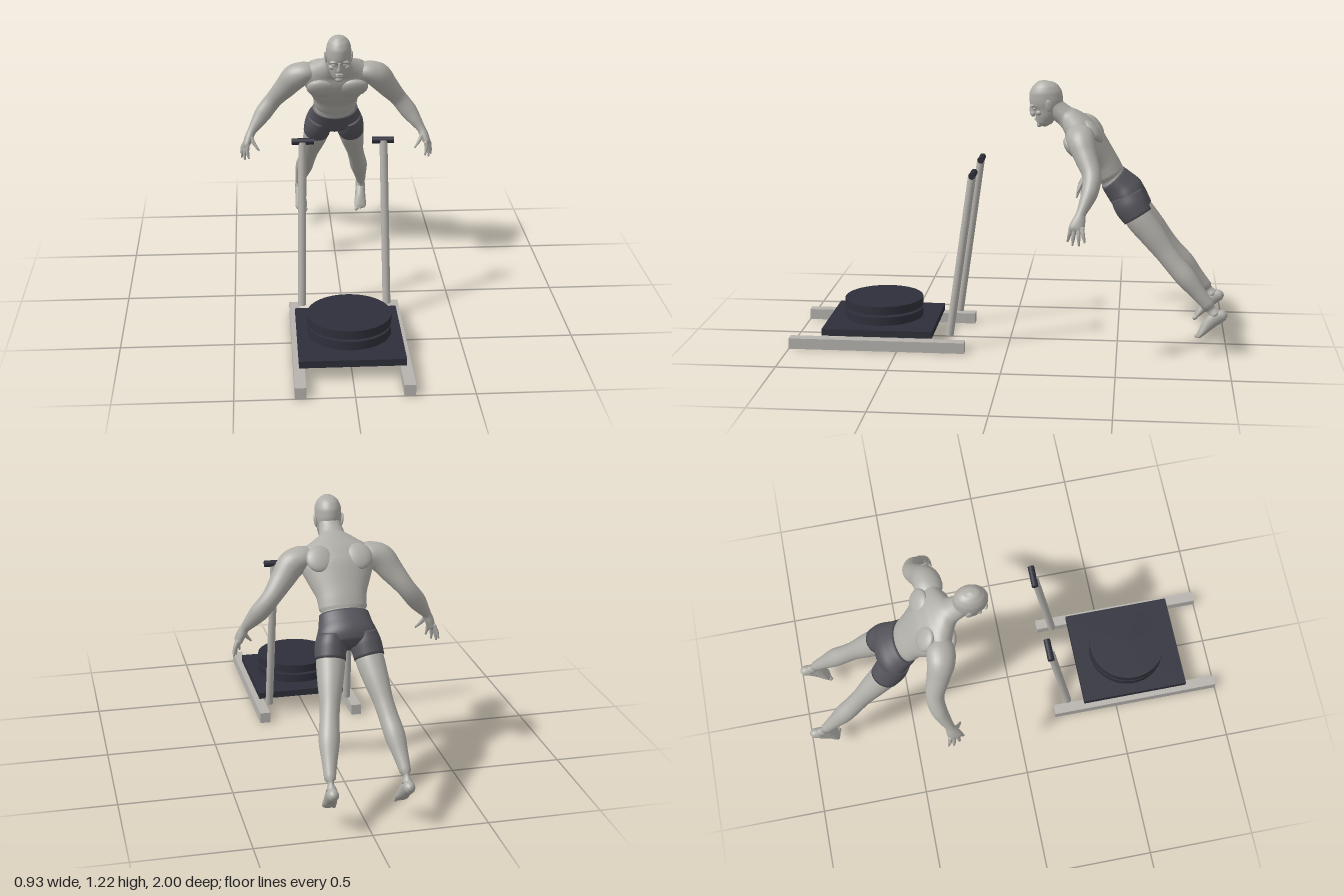
import * as THREE from 'three';

const paint = (name, color) => {
  const m = new THREE.MeshStandardMaterial({ color });
  m.name = name;
  return m;
};

// Smooth tube through rows [x, y, z, halfWidth, halfDepth]; ref points along the depth axis.
function loft(rows, ref, sides = 28, steps = 5) {
  const path = new THREE.CatmullRomCurve3(rows.map(r => new THREE.Vector3(r[0], r[1], r[2])));
  const size = new THREE.CatmullRomCurve3(rows.map(r => new THREE.Vector3(r[3], r[4], 0)));
  const n = (rows.length - 1) * steps, pos = [], idx = [];
  for (let j = 0; j <= n; j++) {
    const p = path.getPoint(j / n), s = size.getPoint(j / n), t = path.getTangent(j / n);
    const d = new THREE.Vector3(...ref).addScaledVector(t, -t.dot(new THREE.Vector3(...ref))).normalize();
    const w = new THREE.Vector3().crossVectors(d, t);
    for (let i = 0; i < sides; i++) {
      const a = i / sides * Math.PI * 2;
      const v = p.clone().addScaledVector(w, Math.cos(a) * s.x).addScaledVector(d, Math.sin(a) * s.y);
      pos.push(v.x, v.y, v.z);
      if (j < n) {
        const A = j * sides + i, B = j * sides + (i + 1) % sides;
        idx.push(A, B, B + sides, A, B + sides, A + sides);
      }
    }
  }
  // End caps
  const first = pos.length / 3, last = n * sides;
  for (const r of [rows[0], rows[rows.length - 1]]) pos.push(r[0], r[1], r[2]);
  for (let i = 0; i < sides; i++) {
    const k = (i + 1) % sides;
    idx.push(first, k, i, first + 1, last + i, last + k);
  }
  const g = new THREE.BufferGeometry();
  g.setAttribute('position', new THREE.Float32BufferAttribute(pos, 3));
  g.setIndex(idx);
  g.computeVertexNormals();
  return g;
}

export function createModel() {
  const model = new THREE.Group();
  const skin = paint('skin grey', 0xb0aea8), cloth = paint('shorts grey', 0x55545b);
  const metal = paint('frame grey', 0xb6b3ae), dark = paint('dark rubber', 0x2e2f3a);

  const add = (parent, name, geo, mat, x = 0, y = 0, z = 0) => {
    const m = new THREE.Mesh(geo, mat);
    m.name = name;
    m.position.set(x, y, z);
    parent.add(m);
    return m;
  };
  const blob = (parent, name, x, y, z, sx, sy, sz, rx = 0, rz = 0) => {
    const m = add(parent, name, new THREE.SphereGeometry(1, 20, 14), skin, x, y, z);
    m.scale.set(sx, sy, sz);
    m.rotation.set(rx, 0, rz);
    return m;
  };
  const rod = (parent, name, a, b, r, mat, sides = 24) => {
    const A = new THREE.Vector3(...a), B = new THREE.Vector3(...b), dir = B.clone().sub(A);
    const m = add(parent, name, new THREE.CylinderGeometry(r, r, dir.length(), sides), mat);
    m.position.copy(A).add(B).multiplyScalar(0.5);
    m.quaternion.setFromUnitVectors(new THREE.Vector3(0, 1, 0), dir.normalize());
    return m;
  };

  // Sled: rails, push poles, handles, platform and weight plates
  const sled = new THREE.Group();
  sled.name = 'sled';
  model.add(sled);
  for (const s of [1, -1]) {
    add(sled, 'rail', new THREE.BoxGeometry(0.048, 0.05, 0.81), metal, s * 0.226, 0.025, 0.595);
    rod(sled, 'pole', [s * 0.193, 0.07, 0.262], [s * 0.181, 0.82, 0.155], 0.018, metal);
    rod(sled, 'handle', [s * 0.13, 0.82, 0.152], [s * 0.228, 0.82, 0.152], 0.015, dark);
  }
  add(sled, 'platform', new THREE.BoxGeometry(0.454, 0.031, 0.51), dark, 0, 0.076, 0.595);
  for (const y of [0.12, 0.17])
    add(sled, 'weightPlate', new THREE.CylinderGeometry(0.182, 0.182, 0.039, 64), dark, 0, y, 0.595);

  // Athlete leaning forward
  const body = new THREE.Group();
  body.name = 'athlete';
  model.add(body);
  const front = [0, -0.62, 0.78];
  add(body, 'torso', loft([
    [0, 0.765, -0.48, 0.104, 0.064],
    [0, 0.80, -0.455, 0.104, 0.064],
    [0, 0.846, -0.428, 0.109, 0.066],
    [0, 0.905, -0.38, 0.138, 0.078],
    [0, 0.965, -0.335, 0.165, 0.082],
    [0, 1.01, -0.305, 0.163, 0.068],
    [0, 1.04, -0.275, 0.105, 0.055],
    [0, 1.062, -0.245, 0.058, 0.047],
    [0, 1.095, -0.205, 0.049, 0.045],
    [0, 1.125, -0.18, 0.045, 0.045],
  ], front, 40), skin);
  add(body, 'shortsHips', loft([
    [0, 0.78, -0.468, 0.108, 0.067],
    [0, 0.745, -0.5, 0.117, 0.077],
    [0, 0.71, -0.532, 0.13, 0.083],
    [0, 0.68, -0.556, 0.124, 0.07],
    [0, 0.662, -0.57, 0.085, 0.035],
  ], front, 40), cloth);

  for (const s of [1, -1]) {
    const side = rows => rows.map(([x, ...rest]) => [s * x, ...rest]);

    // Chest and back muscles
    blob(body, 'chestMuscle', s * 0.072, 0.928, -0.287, 0.074, 0.058, 0.03, 0.67, s * 0.2);
    blob(body, 'shoulderBlade', s * 0.085, 1.005, -0.38, 0.06, 0.06, 0.024, 0.67, s * 0.3);

    // Leg
    add(body, 'shortsLeg', loft(side([
      [0.07, 0.715, -0.53, 0.058, 0.074],
      [0.077, 0.67, -0.552, 0.067, 0.077],
      [0.085, 0.62, -0.584, 0.065, 0.069],
    ]), front), cloth);
    add(body, 'leg', loft(side([
      [0.08, 0.66, -0.558, 0.055, 0.06],
      [0.086, 0.61, -0.592, 0.061, 0.064],
      [0.1, 0.54, -0.65, 0.054, 0.058],
      [0.117, 0.46, -0.714, 0.042, 0.048],
      [0.128, 0.41, -0.755, 0.042, 0.046],
      [0.139, 0.36, -0.8, 0.044, 0.047],
      [0.151, 0.29, -0.86, 0.033, 0.035],
      [0.16, 0.23, -0.91, 0.024, 0.029],
      [0.161, 0.19, -0.94, 0.024, 0.029],
    ]), front), skin);
    add(body, 'foot', loft(side([
      [0.161, 0.193, -0.994, 0.008, 0.008],
      [0.161, 0.19, -0.98, 0.022, 0.024],
      [0.161, 0.177, -0.945, 0.026, 0.033],
      [0.158, 0.14, -0.908, 0.027, 0.027],
      [0.156, 0.108, -0.884, 0.031, 0.018],
      [0.155, 0.09, -0.87, 0.029, 0.011],
      [0.155, 0.084, -0.864, 0.018, 0.004],
    ]), [0, 0.75, 0.66]), skin);
    for (let i = 0; i < 5; i++)
      blob(body, 'toe', s * (0.133 + i * 0.011), 0.083 + i * 0.003, -0.863 - i * 0.003,
        i ? 0.006 : 0.009, i ? 0.008 : 0.01, 0.014, 0.75);

    // Arm
    add(body, 'arm', loft(side([
      [0.1, 1.0, -0.32, 0.035, 0.045],
      [0.15, 0.998, -0.322, 0.05, 0.062],
      [0.195, 0.975, -0.33, 0.061, 0.062],
      [0.24, 0.92, -0.352, 0.053, 0.052],
      [0.3, 0.845, -0.382, 0.041, 0.041],
      [0.347, 0.785, -0.375, 0.041, 0.037],
      [0.38, 0.74, -0.357, 0.031, 0.029],
      [0.407, 0.702, -0.34, 0.021, 0.022],
      [0.42, 0.675, -0.332, 0.021, 0.029],
      [0.432, 0.645, -0.323, 0.018, 0.034],
      [0.436, 0.63, -0.32, 0.01, 0.026],
    ]), [0, 0, 1]), skin);
    // Fingers, then the thumb: knuckle and tip
    const fingers = [
      [[0.437, 0.65, -0.345], [0.46, 0.588, -0.36]],
      [[0.437, 0.645, -0.331], [0.457, 0.573, -0.335]],
      [[0.433, 0.645, -0.314], [0.442, 0.57, -0.306]],
      [[0.428, 0.65, -0.301], [0.422, 0.583, -0.284]],
      [[0.413, 0.685, -0.32], [0.372, 0.622, -0.289]],
    ];
    for (const [a, b] of fingers) {
      const mid = a.map((v, k) => (v + b[k]) / 2 + (k ? 0 : 0.004));
      add(body, 'finger', loft(side([
        [...a, 0.011, 0.011], [...mid, 0.009, 0.009], [...b, 0.004, 0.004],
      ]), [0, 0, 1], 10, 4), skin);
    }
  }

  // Head, tilted towards the ground
  const head = new THREE.Group();
  head.name = 'head';
  head.position.set(0, 1.12, -0.165);
  head.rotation.x = 0.27;
  body.add(head);
  add(head, 'skull', loft([
    [0, -0.1, 0.042, 0.014, 0.016],
    [0, -0.088, 0.038, 0.031, 0.032],
    [0, -0.06, 0.024, 0.045, 0.048],
    [0, -0.025, 0.006, 0.053, 0.067],
    [0, 0.012, 0, 0.058, 0.076],
    [0, 0.045, -0.006, 0.057, 0.074],
    [0, 0.075, -0.012, 0.046, 0.058],
    [0, 0.093, -0.016, 0.026, 0.034],
    [0, 0.099, -0.018, 0.004, 0.005],
  ], [0, 0, 1], 36), skin);
  add(head, 'nose', loft([
    [0, 0.008, 0.07, 0.007, 0.008],
    [0, -0.018, 0.074, 0.008, 0.012],
    [0, -0.034, 0.073, 0.013, 0.014],
    [0, -0.042, 0.066, 0.008, 0.008],
  ], [0, 0, 1], 14), skin);
  blob(head, 'upperLip', 0, -0.058, 0.068, 0.019, 0.005, 0.007);
  blob(head, 'lowerLip', 0, -0.067, 0.065, 0.016, 0.005, 0.007);
  blob(head, 'chin', 0, -0.089, 0.06, 0.018, 0.012, 0.012);
  for (const s of [1, -1]) {
    blob(head, 'brow', s * 0.024, 0.008, 0.064, 0.021, 0.007, 0.011, 0, s * -0.15);
    blob(head, 'eye', s * 0.024, -0.011, 0.058, 0.011, 0.007, 0.009);
    blob(head, 'cheek', s * 0.032, -0.032, 0.043, 0.017, 0.013, 0.015);
    blob(head, 'ear', s * 0.059, -0.01, -0.01, 0.007, 0.028, 0.016, -0.15, s * -0.12);
  }
  return model;
}
